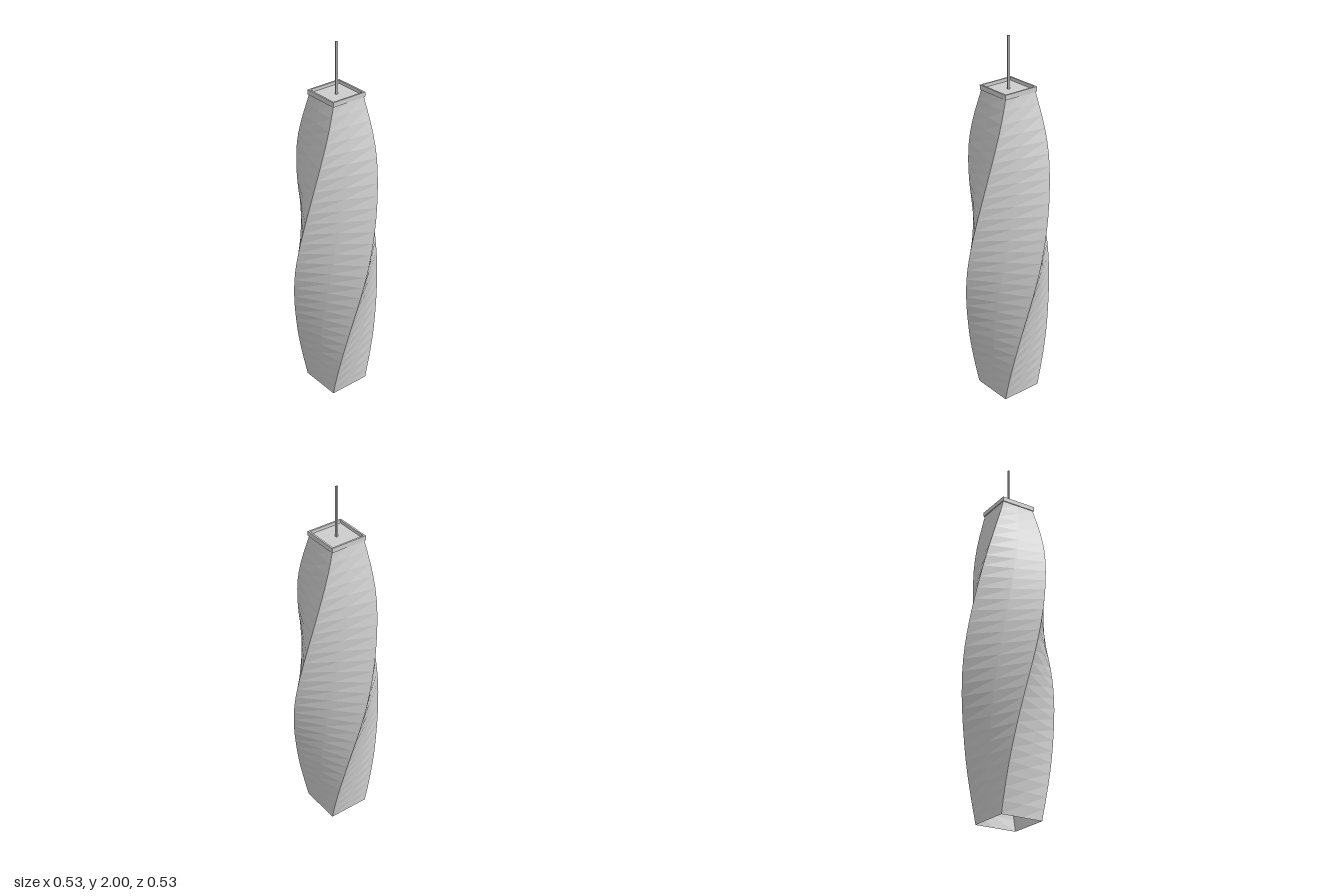
import * as THREE from 'three';

const HEIGHT = 1.73;
const TWIST = Math.PI / 2;
const ROWS = 28;

// Half-diagonal of the square floor plan at evenly blended heights (fraction, radius)
const bulge = new THREE.SplineCurve([
  [0, 0.163], [0.22, 0.22], [0.5, 0.263], [0.8, 0.221], [1, 0.131],
].map(([t, r]) => new THREE.Vector2(t, r)));
const bulgePoints = bulge.getPoints(200);

function halfDiagonal(t) {
  const i = Math.max(1, bulgePoints.findIndex((p) => p.x >= t - 1e-6));
  const a = bulgePoints[i - 1], b = bulgePoints[i];
  return THREE.MathUtils.mapLinear(t, a.x, b.x, a.y, b.y);
}

// Square tube whose floor plan swells and makes a quarter turn on the way up
function twistedShell() {
  const geo = new THREE.BoxGeometry(2, HEIGHT, 2, 2, ROWS, 2);
  // drop the top and bottom caps, leaving the four walls
  const index = Array.from(geo.index.array);
  const walls = geo.groups
    .filter((g) => g.materialIndex !== 2 && g.materialIndex !== 3)
    .flatMap((g) => index.slice(g.start, g.start + g.count));
  geo.setIndex(walls);
  geo.clearGroups();

  const pos = geo.attributes.position;
  const axis = new THREE.Vector3(0, 1, 0);
  const v = new THREE.Vector3();
  for (let i = 0; i < pos.count; i++) {
    v.fromBufferAttribute(pos, i);
    const t = THREE.MathUtils.clamp(v.y / HEIGHT + 0.5, 0, 1);
    const half = halfDiagonal(t) / Math.SQRT2;
    v.set(v.x * half, t * HEIGHT, v.z * half).applyAxisAngle(axis, t * TWIST);
    pos.setXYZ(i, v.x, v.y, v.z);
  }
  geo.computeVertexNormals();
  return geo;
}

function square(half, Type = THREE.Shape) {
  return new Type([
    [-half, -half], [half, -half], [half, half], [-half, half],
  ].map(([x, y]) => new THREE.Vector2(x, y)));
}

export function createModel() {
  const model = new THREE.Group();
  model.name = 'twistedTower';
  const grey = new THREE.MeshStandardMaterial({ color: 0xcccccc, flatShading: true });
  const thin = grey.clone();
  thin.side = THREE.DoubleSide;

  const add = (name, geometry, material, y = 0) => {
    const mesh = new THREE.Mesh(geometry, material);
    mesh.name = name;
    mesh.position.y = y;
    model.add(mesh);
    return mesh;
  };

  // Open-bottomed facade
  add('twistedFacade', twistedShell(), thin);

  // Roof slab and the raised rim around it
  add('roof', new THREE.BoxGeometry(0.184, 0.006, 0.184), grey, 1.727);
  const rim = square(0.099);
  rim.holes.push(square(0.09, THREE.Path));
  const rimGeo = new THREE.ExtrudeGeometry(rim, { depth: 0.025, bevelEnabled: false });
  rimGeo.rotateX(-Math.PI / 2);
  add('parapet', rimGeo, grey, 1.722);

  // Square mast standing on the roof
  add('mast', new THREE.BoxGeometry(0.01, 0.27, 0.01), grey, 1.865);

  return model;
}
